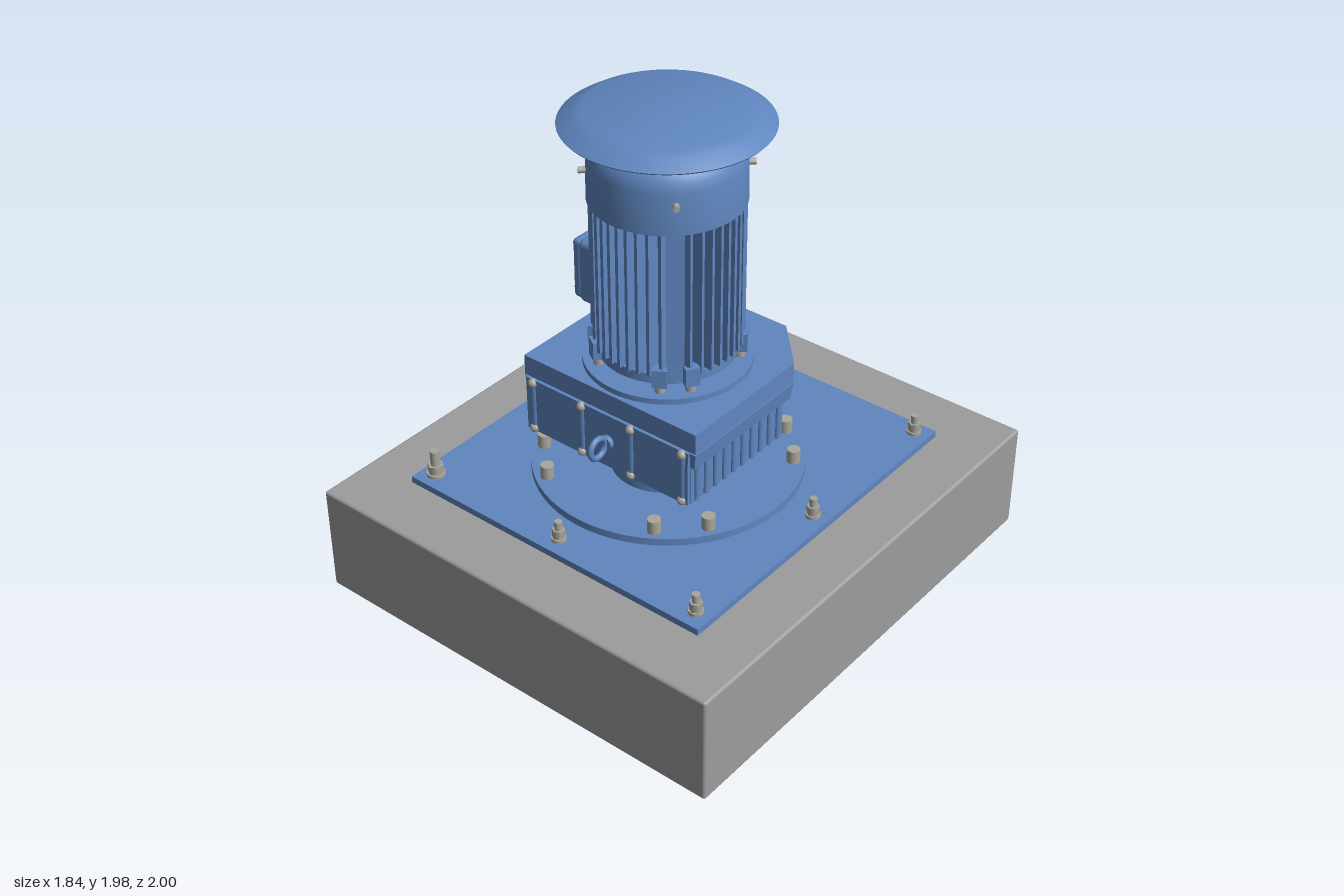
import * as THREE from 'three';
import { RoundedBoxGeometry } from 'three/addons/geometries/RoundedBoxGeometry.js';
import { ConvexGeometry } from 'three/addons/geometries/ConvexGeometry.js';
import { toCreasedNormals } from 'three/addons/utils/BufferGeometryUtils.js';

const paint = (name, color) => Object.assign(new THREE.MeshStandardMaterial({ color }), { name });

export function createModel() {
  const blue = paint('bluePaint', 0x5f86bf);
  const concrete = paint('concrete', 0x9c9c9c);
  const steel = paint('steel', 0xa9a69b);
  const root = new THREE.Group();
  root.name = 'gearedMotor';
  const CX = -0.013, CZ = 0.05; // drive axis

  const add = (name, geo, mat, x = 0, y = 0, z = 0, parent = root) => {
    const m = new THREE.Mesh(geo, mat);
    m.name = name;
    m.position.set(x, y, z);
    parent.add(m);
    return m;
  };
  // upright cylinder from y0 to y1
  const disc = (name, r, y0, y1, mat, x = CX, z = CZ, seg = 64, parent = root) =>
    add(name, new THREE.CylinderGeometry(r, r, y1 - y0, seg), mat, x, (y0 + y1) / 2, z, parent);
  const box = (name, w, h, d, mat, x, y, z, parent = root) =>
    add(name, new THREE.BoxGeometry(w, h, d), mat, x, y, z, parent);
  const lathe = (name, pts) => add(name, toCreasedNormals(
    new THREE.LatheGeometry(pts.map(p => new THREE.Vector2(...p)), 64), 0.6), blue, CX, 0, CZ);
  // solid between two outlines given as [x, z] corners
  const prism = (name, low, y0, high, y1) => add(name, new ConvexGeometry([
    ...low.map(([x, z]) => new THREE.Vector3(x, y0, z)),
    ...high.map(([x, z]) => new THREE.Vector3(x, y1, z))]), blue);
  // eight bolt positions in pairs around the diagonals
  const pairs = [];
  for (let q = 0; q < 4; q++) for (const d of [33, 57])
    pairs.push((q * 90 + d) * Math.PI / 180);

  // foundation and mounting plates
  add('foundation', new RoundedBoxGeometry(1.84, 0.45, 2, 2, 0.012), concrete, 0, 0.225, 0);
  box('basePlate', 1.39, 0.027, 1.5, blue, -0.007, 0.4635, 0);
  disc('flange', 0.527, 0.47, 0.507, blue);
  disc('outputColumn', 0.21, 0.5, 0.66, blue, 0.005, 0.09);

  // anchor bolts around the plate
  for (const x of [-0.64, -0.015, 0.625]) for (const z of [-0.69, -0.015, 0.68]) {
    if (x === -0.015 && z === -0.015) continue;
    const big = x < -0.1 && z > 0.1;
    const k = big ? 1.25 : 1;
    const g = new THREE.Group();
    g.name = 'anchorBolt';
    root.add(g);
    disc('washer', 0.029 * k, 0.477, 0.49, steel, x, z, 20, g);
    disc('nut', 0.025 * k, 0.49, 0.525, steel, x, z, 6, g);
    disc('stud', 0.015 * k, 0.52, big ? 0.588 : 0.56, steel, x, z, 16, g);
  }
  for (const a of pairs)
    disc('flangeBolt', 0.026, 0.505, 0.562, steel, CX + 0.48 * Math.cos(a), CZ + 0.48 * Math.sin(a), 20);

  // gearbox: lower body, tapered rim and lid
  const lid = [[-0.43, 0.385], [-0.43, -0.2], [-0.24, -0.387], [0.21, -0.387], [0.385, -0.2], [0.385, 0.385]];
  const rim = lid.map(([x, z]) => [x * 0.975, z * 0.98]);
  const body = [[-0.415, 0.38], [-0.415, -0.17], [-0.23, -0.33], [0.19, -0.33], [0.36, -0.17], [0.36, 0.38]];
  prism('gearboxBody', body, 0.64, body, 0.82);
  prism('gearboxRim', rim, 0.8, lid, 0.868);
  prism('gearboxLid', lid, 0.874, lid, 0.958);
  prism('lidJoint', rim, 0.86, rim, 0.88);
  box('frontCover', 0.775, 0.23, 0.014, blue, -0.03, 0.755, 0.387);
  // side ribs on the lower body
  for (let i = 0; i < 10; i++) for (const x of [-0.415, 0.36])
    disc('bodyRib', 0.012, 0.645, 0.805, blue, x, -0.14 + i * 0.054, 10);
  for (const x of [-0.385, -0.145, 0.09, 0.33]) {
    disc('coverBoss', 0.016, 0.642, 0.868, blue, x, 0.386, 12);
    for (const y of [0.652, 0.855])
      add('coverBolt', new THREE.SphereGeometry(0.019, 12, 8), steel, x, y, 0.393);
  }

  // lifting eye on the front cover
  const eye = add('liftingEye', new THREE.TorusGeometry(0.04, 0.012, 12, 28), blue, -0.017, 0.755, 0.452);
  eye.rotation.y = Math.PI / 2;
  const stem = add('eyeStem', new THREE.CylinderGeometry(0.028, 0.028, 0.022, 20), blue, -0.017, 0.755, 0.402);
  stem.rotation.x = Math.PI / 2;

  // motor foot
  disc('motorSeat', 0.32, 0.95, 0.98, blue);
  disc('motorNeck', 0.2, 0.97, 1.02, blue);
  disc('motorFoot', 0.265, 1.01, 1.05, blue);
  for (const a of pairs) {
    const x = CX + 0.268 * Math.cos(a), z = CZ + 0.268 * Math.sin(a);
    box('footLug', 0.055, 0.075, 0.055, blue, x, 1.047, z).rotation.y = -a;
    disc('seatBolt', 0.02, 0.975, 1.012, steel, x, z, 12);
  }

  // motor casing: core, smooth corner panels and parallel cooling fins
  disc('motorCore', 0.237, 1.03, 1.66, blue);
  for (let q = 0; q < 4; q++) {
    const side = new THREE.Group();
    side.name = 'finBank';
    side.position.set(CX, 0, CZ);
    side.rotation.y = q * Math.PI / 2;
    root.add(side);
    for (let i = -4; i <= 4; i++) {
      const x = i * 0.039, reach = Math.sqrt(0.282 ** 2 - x * x);
      box('coolingFin', 0.013, 0.6, reach - 0.12, blue, x, 1.35, (reach + 0.12) / 2, side);
    }
    const panel = box('cornerPanel', 0.115, 0.6, 0.08, blue, 0.158, 1.35, 0.158, side);
    panel.rotation.y = Math.PI / 4;
  }

  // terminal box on the right side
  box('terminalNeck', 0.1, 0.2, 0.2, blue, -0.255, 1.27, CZ);
  add('terminalBox', new RoundedBoxGeometry(0.1, 0.265, 0.265, 3, 0.025), blue, -0.285, 1.265, CZ);
  add('terminalCover', new RoundedBoxGeometry(0.045, 0.25, 0.25, 3, 0.018), blue, -0.343, 1.265, CZ);
  for (const y of [-0.095, 0.095]) for (const z of [-0.095, 0.095]) {
    const s = disc('coverScrew', 0.012, 0, 0.012, blue, -0.368, CZ + z, 10);
    s.position.y = 1.265 + y;
    s.rotation.z = Math.PI / 2;
  }

  // fan cowl with rounded shoulder
  lathe('fanCowl', [[0, 1.64], [0.29, 1.64], [0.288, 1.8], [0.28, 1.835],
    [0.262, 1.865], [0.235, 1.884], [0.2, 1.89], [0, 1.892]]);
  for (let q = 0; q < 4; q++) {
    const a = (q + 0.5) * Math.PI / 2, b = q * Math.PI / 2;
    const s = add('cowlScrew', new THREE.CylinderGeometry(0.012, 0.012, 0.035, 12), steel,
      CX + 0.297 * Math.cos(a), 1.758, CZ + 0.297 * Math.sin(a));
    s.rotation.set(0, -a, Math.PI / 2);
    box('capPost', 0.075, 0.075, 0.036, blue, CX + 0.2 * Math.cos(b), 1.912, CZ + 0.2 * Math.sin(b)).rotation.y = -b;
  }

  // rain cap
  lathe('rainCap', [[0, 1.938], [0.3, 1.938], [0.382, 1.928], [0.387, 1.934],
    [0.335, 1.966], [0.305, 1.978], [0, 1.982]]);
  return root;
}
